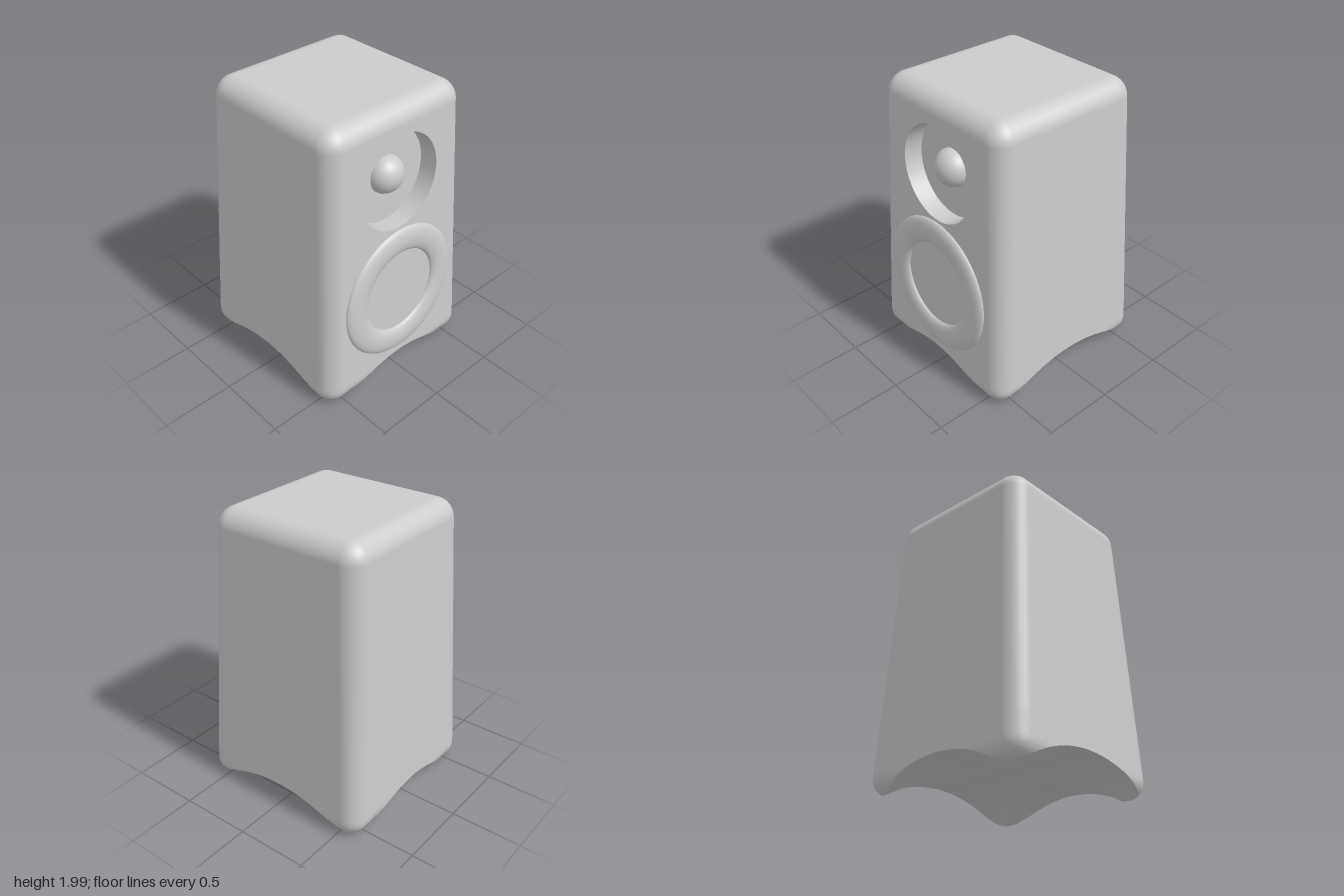
import * as THREE from 'three';

const R = 0.125;            // edge radius of the cabinet
const SLOPE = 0.046;        // inward lean of every wall
const CZ = -0.011;          // cabinet centre in z
const HEIGHT = 2;
const FLAT = 16, ARC = 8;   // segments per flat side and per rounded corner
const half = (y) => 0.649 - SLOPE * y;

// Height of an arch (circle arc) of given half span and rise
function arch(u, span, rise) {
  const rad = (span * span + rise * rise) / (2 * rise);
  return Math.abs(u) < span ? Math.sqrt(rad * rad - u * u) - rad + rise : 0;
}
const underside = (x, z) => Math.max(0, arch(x, 0.49, 0.15), arch(z, 0.585, 0.18));

// Perimeter columns of a rounded square: anchor on the inner square + outward direction
function makeColumns() {
  const cols = [];
  for (let k = 0; k < 4; k++) {
    const a = (k * Math.PI) / 2;
    const n = new THREE.Vector2(Math.sin(a), Math.cos(a));
    const t = new THREE.Vector2(Math.cos(a), -Math.sin(a));
    for (let i = 0; i <= FLAT; i++) {
      cols.push({ q: n.clone().addScaledVector(t, -1 + (2 * i) / FLAT), d: n });
    }
    for (let i = 1; i < ARC; i++) {
      const b = (i / ARC) * (Math.PI / 2);
      cols.push({
        q: n.clone().add(t),
        d: n.clone().multiplyScalar(Math.cos(b)).addScaledVector(t, Math.sin(b)),
      });
    }
  }
  return cols;
}

// Point and normal on the cabinet skin
function skin(col, y) {
  let s = 0;
  if (y < R) s = (y - R) / R;
  else if (y > HEIGHT - R) s = (y - HEIGHT + R) / R;
  const c = Math.sqrt(Math.max(0, 1 - s * s));
  const w = half(y) - R;
  return {
    p: new THREE.Vector3(col.q.x * w + col.d.x * R * c, y, col.q.y * w + col.d.y * R * c + CZ),
    n: new THREE.Vector3(col.d.x * c, s + SLOPE * c, col.d.y * c).normalize(),
  };
}

// Height where a column meets the arched underside
function bottomOf(col) {
  let lo = 0, hi = 0.3;
  for (let i = 0; i < 40; i++) {
    const mid = (lo + hi) / 2, p = skin(col, mid).p;
    if (mid > underside(p.x, p.z)) hi = mid; else lo = mid;
  }
  return lo;
}

function buildGeometry(pos, idx, nor) {
  const g = new THREE.BufferGeometry();
  g.setAttribute('position', new THREE.Float32BufferAttribute(pos, 3));
  g.setIndex(idx);
  if (nor) g.setAttribute('normal', new THREE.Float32BufferAttribute(nor, 3));
  else g.computeVertexNormals();
  return g;
}

const PANEL_LOW = 0.3, PANEL_HIGH = HEIGHT - R;

// Walls, rounded edges and top, leaving the front panel open
function shellGeometry(cols) {
  const pos = [], nor = [], idx = [], N = cols.length, LOW = 10, TOP = 8;
  const rows = LOW + TOP + 2;
  for (let j = 0; j < rows; j++) {
    for (const col of cols) {
      const yb = bottomOf(col);
      const y = j <= LOW
        ? yb + (PANEL_LOW - yb) * Math.pow(j / LOW, 1.5)
        : PANEL_HIGH + R * Math.sin(((j - LOW - 1) / TOP) * (Math.PI / 2));
      const { p, n } = skin(col, y);
      pos.push(p.x, p.y, p.z);
      nor.push(n.x, n.y, n.z);
    }
  }
  for (let j = 0; j < rows - 1; j++) {
    for (let i = 0; i < N; i++) {
      if (j === LOW && i < FLAT) continue;
      const a = j * N + i, b = j * N + ((i + 1) % N);
      idx.push(a, b, b + N, a, b + N, a + N);
    }
  }
  // flat top
  const centre = pos.length / 3, last = (rows - 1) * N;
  pos.push(0, HEIGHT, CZ);
  nor.push(0, 1, 0);
  for (let i = 0; i < N; i++) idx.push(last + i, last + ((i + 1) % N), centre);
  return buildGeometry(pos, idx, nor);
}

// Two crossing arches cut into the base
function undersideGeometry(cols) {
  const pos = [], idx = [], N = cols.length, RINGS = 20;
  const rim = cols.map((c) => skin(c, bottomOf(c)).p);
  for (let j = 0; j < RINGS; j++) {
    const f = 1 - j / RINGS;
    for (const p of rim) {
      const x = p.x * f, z = p.z * f;
      pos.push(x, j === 0 ? p.y : underside(x, z), z);
    }
  }
  pos.push(0, underside(0, 0), 0);
  for (let j = 0; j < RINGS; j++) {
    for (let i = 0; i < N; i++) {
      const a = j * N + i, b = j * N + ((i + 1) % N);
      if (j === RINGS - 1) idx.push(a, RINGS * N, b);
      else idx.push(a, b + N, b, a, a + N, b + N);
    }
  }
  return buildGeometry(pos, idx);
}

export function createModel() {
  const model = new THREE.Group();
  model.name = 'speaker';
  const grey = new THREE.MeshStandardMaterial({ color: 0xcccccc });
  const inside = new THREE.MeshStandardMaterial({ color: 0xcccccc, side: THREE.BackSide });
  const add = (parent, name, geometry, material = grey) => {
    const mesh = new THREE.Mesh(geometry, material);
    mesh.name = name;
    parent.add(mesh);
    return mesh;
  };

  const cols = makeColumns();
  add(model, 'cabinet', shellGeometry(cols));
  add(model, 'archedUnderside', undersideGeometry(cols));

  // Leaning front: local xy is the plane of the front wall
  const front = new THREE.Group();
  front.name = 'front';
  front.position.z = half(0) + CZ;
  front.rotation.x = -Math.atan(SLOPE);
  model.add(front);
  const up = (y) => y / Math.cos(Math.atan(SLOPE));

  const tweeterY = up(1.5), tweeterR = 0.324, depth = 0.13;
  const wl = half(PANEL_LOW) - R, wh = half(PANEL_HIGH) - R;
  const panel = new THREE.Shape([
    new THREE.Vector2(-wl, up(PANEL_LOW)), new THREE.Vector2(wl, up(PANEL_LOW)),
    new THREE.Vector2(wh, up(PANEL_HIGH)), new THREE.Vector2(-wh, up(PANEL_HIGH)),
  ]);
  panel.holes.push(new THREE.Path().absarc(0, tweeterY, tweeterR, 0, Math.PI * 2, true));
  add(front, 'frontPanel', new THREE.ShapeGeometry(panel, 32));

  // Recessed tweeter with its dome
  const wall = new THREE.CylinderGeometry(tweeterR, tweeterR, depth, 64, 1, true).rotateX(Math.PI / 2);
  add(front, 'tweeterRecess', wall, inside).position.set(0, tweeterY, -depth / 2);
  add(front, 'tweeterFloor', new THREE.CircleGeometry(tweeterR, 64)).position.set(0, tweeterY, -depth);
  const dome = new THREE.SphereGeometry(0.127, 40, 16, 0, Math.PI * 2, 0, Math.PI / 2).rotateX(Math.PI / 2);
  const domeMesh = add(front, 'tweeterDome', dome);
  domeMesh.position.set(0, up(1.51), -depth);
  domeMesh.scale.z = 0.9;

  // Woofer surround
  const ring = add(front, 'wooferRing', new THREE.TorusGeometry(0.388, 0.0895, 24, 72));
  ring.position.set(0, up(0.68), 0);
  ring.scale.z = 0.38;

  return model;
}
